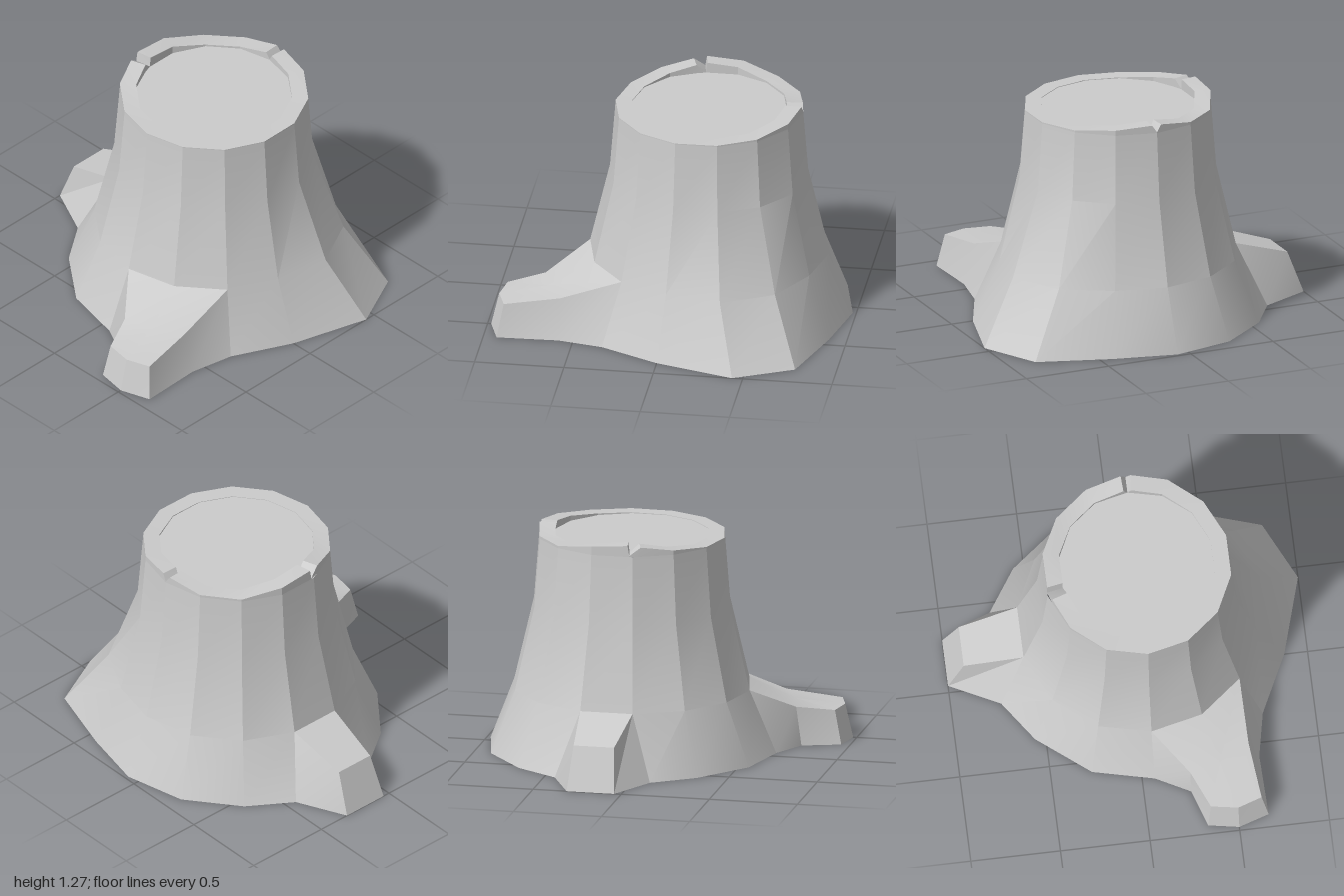
import * as THREE from 'three';
import { toCreasedNormals } from 'three/addons/utils/BufferGeometryUtils.js';

const SIDES = 14, CX = 0.07, CZ = -0.178, CUT = 1.21;

// Point on the 14-sided ring; k runs from the back towards +x, fractions lie on the straight edges.
function ringPoint(k, r, y) {
  const corner = (i) => {
    const a = (i / SIDES) * Math.PI * 2;
    return new THREE.Vector3(CX + r * Math.sin(a), y, CZ - r * Math.cos(a));
  };
  const i = Math.floor(k);
  return corner(i).lerp(corner(i + 1), k - i);
}

// Collects four-cornered faces, corners counter-clockwise from outside.
class Faces {
  data = [];
  quad(a, b, c, d) {
    for (const p of [a, b, c, a, c, d]) this.data.push(p.x, p.y, p.z);
  }
  mesh(name, material, crease) {
    const g = new THREE.BufferGeometry();
    g.setAttribute('position', new THREE.Float32BufferAttribute(this.data, 3));
    const m = new THREE.Mesh(toCreasedNormals(g, crease), material);
    m.name = name;
    return m;
  }
}

const v = (x, y, z) => new THREE.Vector3(x, y, z);

// Root: rows run from trunk to tip to ground, each listed left to right;
// leftBase and rightBase are the ground points under each row.
function makeRoot(name, rows, leftBase, rightBase, material) {
  const f = new Faces();
  for (let i = 0; i < rows.length - 1; i++) {
    const up = rows[i], low = rows[i + 1];
    for (let j = 0; j < up.length - 1; j++) f.quad(low[j], low[j + 1], up[j + 1], up[j]);
    if (i < rows.length - 2) {
      const e = up.length - 1;
      f.quad(leftBase[i], leftBase[i + 1], low[0], up[0]);
      f.quad(rightBase[i + 1], rightBase[i], up[e], low[e]);
    }
  }
  return f.mesh(name, material, 0.4);
}

export function createModel() {
  const group = new THREE.Group();
  group.name = 'treeStump';
  const material = new THREE.MeshStandardMaterial({ color: 0xcccccc });

  // Trunk rings, from the cut down to the flared foot
  const footXZ = [
    [0.07, -0.98], [0.43, -0.9], [0.84, -0.77], [1, -0.44], [0.87, 0], [0.71, 0.33], [0.5, 0.6],
    [0.07, 0.64], [-0.27, 0.56], [-0.56, 0.33], [-0.72, 0.1], [-0.72, -0.44], [-0.56, -0.68], [-0.28, -0.9],
  ];
  const foot = footXZ.map(([x, z]) => v(x, 0, z));
  const ring = (y, radius) => foot.map((_, k) => ringPoint(k, radius(k), y));
  const flare = ring(0.35, (k) => ({ 2: 0.72, 3: 0.73 }[k] ?? 0.667));
  const rings = [ring(CUT, () => 0.525), ring(0.82, () => 0.556), flare, foot];

  const trunk = new Faces();
  for (let r = 0; r < 3; r++) {
    for (let k = 0; k < SIDES; k++) {
      if (r === 2 && [5, 6, 10].includes(k)) continue; // the roots grow here
      const n = (k + 1) % SIDES;
      trunk.quad(rings[r + 1][n], rings[r + 1][k], rings[r][k], rings[r][n]);
    }
  }
  group.add(trunk.mesh('trunk', material, 0.43));

  // Front root
  const frontTip = [v(0.33, 0, 0.95), v(0.5, 0, 0.98), v(0.67, 0, 0.925)];
  const frontLeft = [foot[7], v(0.26, 0, 0.74), frontTip[0]];
  const frontRight = [foot[5], v(0.66, 0, 0.58), frontTip[2]];
  group.add(makeRoot('frontRoot', [
    [flare[7], flare[6], flare[5]],
    [v(0.26, 0.22, 0.71), v(0.43, 0.225, 0.67), v(0.6, 0.23, 0.58)],
    [v(0.35, 0.19, 0.91), v(0.5, 0.19, 0.935), v(0.635, 0.19, 0.89)],
    frontTip,
  ], frontLeft, frontRight, material));

  // Side root
  const sideTip = [v(-1, 0, -0.31), v(-1, 0, -0.04)];
  group.add(makeRoot('sideRoot', [
    [flare[11], flare[10]],
    [v(-0.91, 0.24, -0.29), v(-0.91, 0.24, -0.06)],
    sideTip,
  ], [foot[11], sideTip[0]], [foot[10], sideTip[1]], material));

  // Underside, following the foot and both roots
  const outline = [
    ...foot.slice(0, 6), ...frontRight.slice(1), frontTip[1], frontTip[0], frontLeft[1],
    ...foot.slice(7, 11), sideTip[1], sideTip[0], ...foot.slice(11),
  ];
  const shape = new THREE.Shape(outline.map((p) => new THREE.Vector2(p.x, p.z)));
  const underside = new THREE.Mesh(new THREE.ShapeGeometry(shape).rotateX(Math.PI / 2), material);
  underside.name = 'underside';
  group.add(underside);

  // Bark rim: [ring position, height], with two splits
  const rimTop = [
    [0, 1.215], [0.12, 1.255], [1, 1.24], [2, 1.222], [3, 1.217], [4, 1.215], [5, 1.215], [6, 1.215],
    [7, 1.215], [8, 1.217], [9, 1.235], [9.8, 1.262], [10.08, 1.215], [10.12, 1.272], [11, 1.257],
    [12, 1.223], [13, 1.225], [13.88, 1.255], [14, 1.215],
  ];
  const rim = new Faces();
  for (let i = 0; i < rimTop.length - 1; i++) {
    const [[k0, h0], [k1, h1]] = [rimTop[i], rimTop[i + 1]];
    const at = (k, r, y) => ringPoint(k, r, y);
    const [R, r] = [0.525, 0.434];
    rim.quad(at(k1, R, CUT), at(k0, R, CUT), at(k0, R, h0), at(k1, R, h1));
    rim.quad(at(k1, R, h1), at(k0, R, h0), at(k0, r, h0), at(k1, r, h1));
    rim.quad(at(k0, r, CUT), at(k1, r, CUT), at(k1, r, h1), at(k0, r, h0));
  }
  group.add(rim.mesh('barkRim', material, 0.3));

  // Sawn wood face inside the rim
  const cut = new THREE.Mesh(
    new THREE.CircleGeometry(0.434, SIDES, Math.PI / 2).rotateX(-Math.PI / 2), material);
  cut.position.set(CX, CUT + 0.002, CZ);
  cut.name = 'cutFace';
  group.add(cut);

  return group;
}
